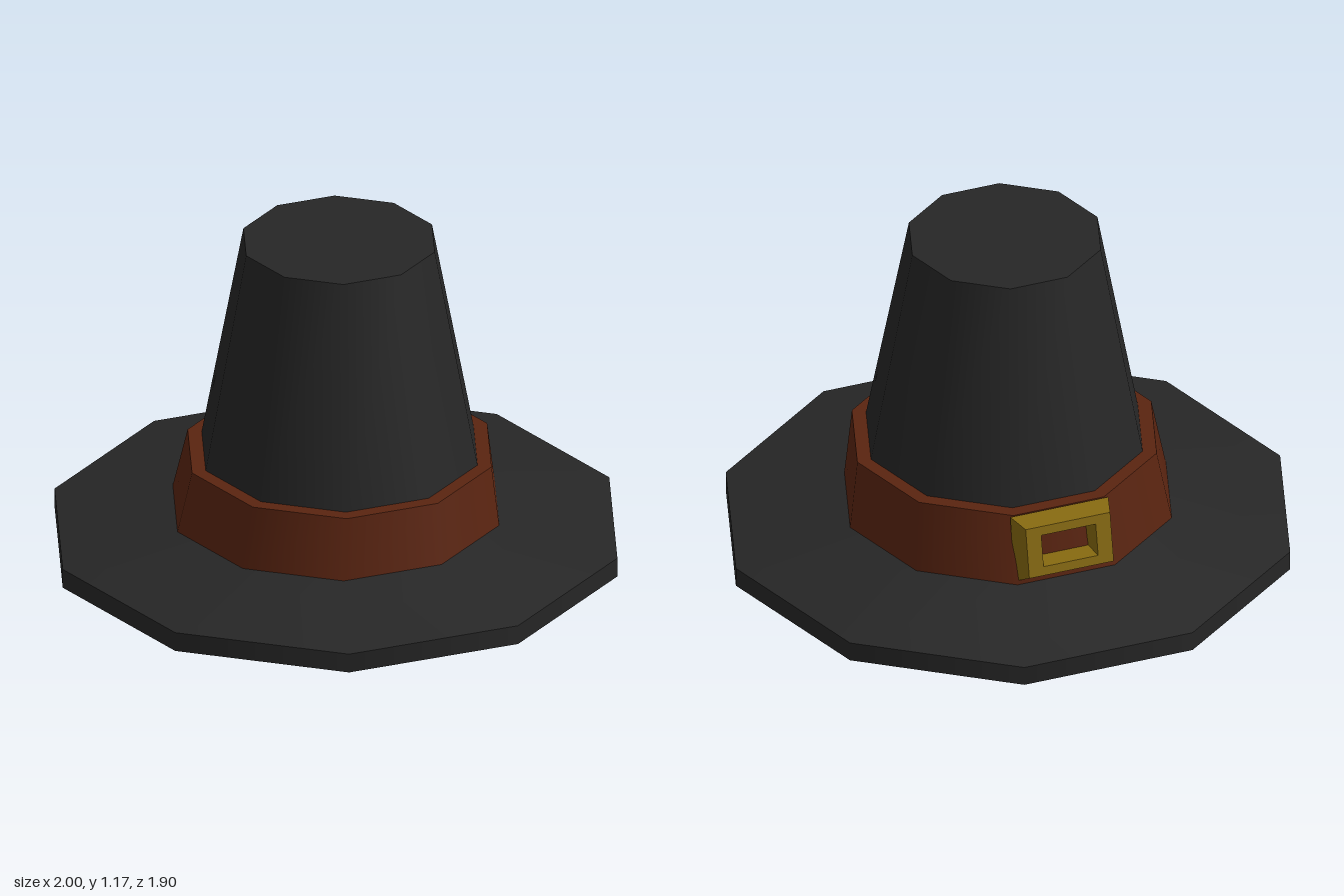
import * as THREE from 'three';

const SIDES = 10;

const mat = (name, color) => {
  const m = new THREE.MeshStandardMaterial({ color });
  m.name = name;
  return m;
};

// Ten-sided tapered ring from y0 to y1, its ends shifted in z to give a slight lean
function frustum(name, material, [r0, y0, z0], [r1, y1, z1]) {
  const geo = new THREE.CylinderGeometry(r1, r0, y1 - y0, SIDES, 1, false, Math.PI / 2);
  geo.translate(0, (y0 + y1) / 2, 0);
  const p = geo.attributes.position;
  for (let i = 0; i < p.count; i++) {
    const t = (p.getY(i) - y0) / (y1 - y0);
    p.setZ(i, p.getZ(i) + z0 + (z1 - z0) * t);
  }
  const mesh = new THREE.Mesh(geo, material);
  mesh.name = name;
  return mesh;
}

// Rectangular frame facing -z, skinned through four rectangular loops
function buckleGeometry() {
  // each loop: half width, bottom y, bottom z, top y, top z
  const loops = [
    [0.18, 0.14, -0.525, 0.375, -0.485],
    [0.155, 0.19, -0.602, 0.367, -0.567],
    [0.1, 0.222, -0.596, 0.335, -0.573],
    [0.09, 0.225, -0.52, 0.33, -0.5],
  ].map(([w, yb, zb, yt, zt]) => [
    [-w, yb, zb], [w, yb, zb], [w, yt, zt], [-w, yt, zt],
  ]);
  const pos = [];
  for (let k = 0; k < loops.length - 1; k++) {
    for (let i = 0; i < 4; i++) {
      const j = (i + 1) % 4;
      const a = loops[k][i], b = loops[k][j], c = loops[k + 1][j], d = loops[k + 1][i];
      pos.push(...a, ...b, ...c, ...a, ...c, ...d);
    }
  }
  const geo = new THREE.BufferGeometry();
  geo.setAttribute('position', new THREE.Float32BufferAttribute(pos, 3));
  geo.computeVertexNormals();
  return geo;
}

export function createModel() {
  const felt = mat('black felt', 0x262626);
  const leather = mat('brown leather', 0x5a2410);
  const brass = mat('dull brass', 0x86690f);
  brass.side = THREE.DoubleSide;

  const hat = new THREE.Group();
  hat.name = 'hat';

  // Brim: a flat rim with a shallow slope up to the band
  hat.add(frustum('brimEdge', felt, [1, 0, 0], [1, 0.07, 0]));
  hat.add(frustum('brimSlope', felt, [1, 0.07, 0], [0.58, 0.14, 0]));

  // Band and crown
  hat.add(frustum('band', leather, [0.58, 0.14, 0], [0.54, 0.375, 0.035]));
  hat.add(frustum('crown', felt, [0.49, 0.375, 0.035], [0.34, 1.17, 0.03]));

  // Buckle on the back of the band
  const buckle = new THREE.Mesh(buckleGeometry(), brass);
  buckle.name = 'buckle';
  hat.add(buckle);

  return hat;
}
